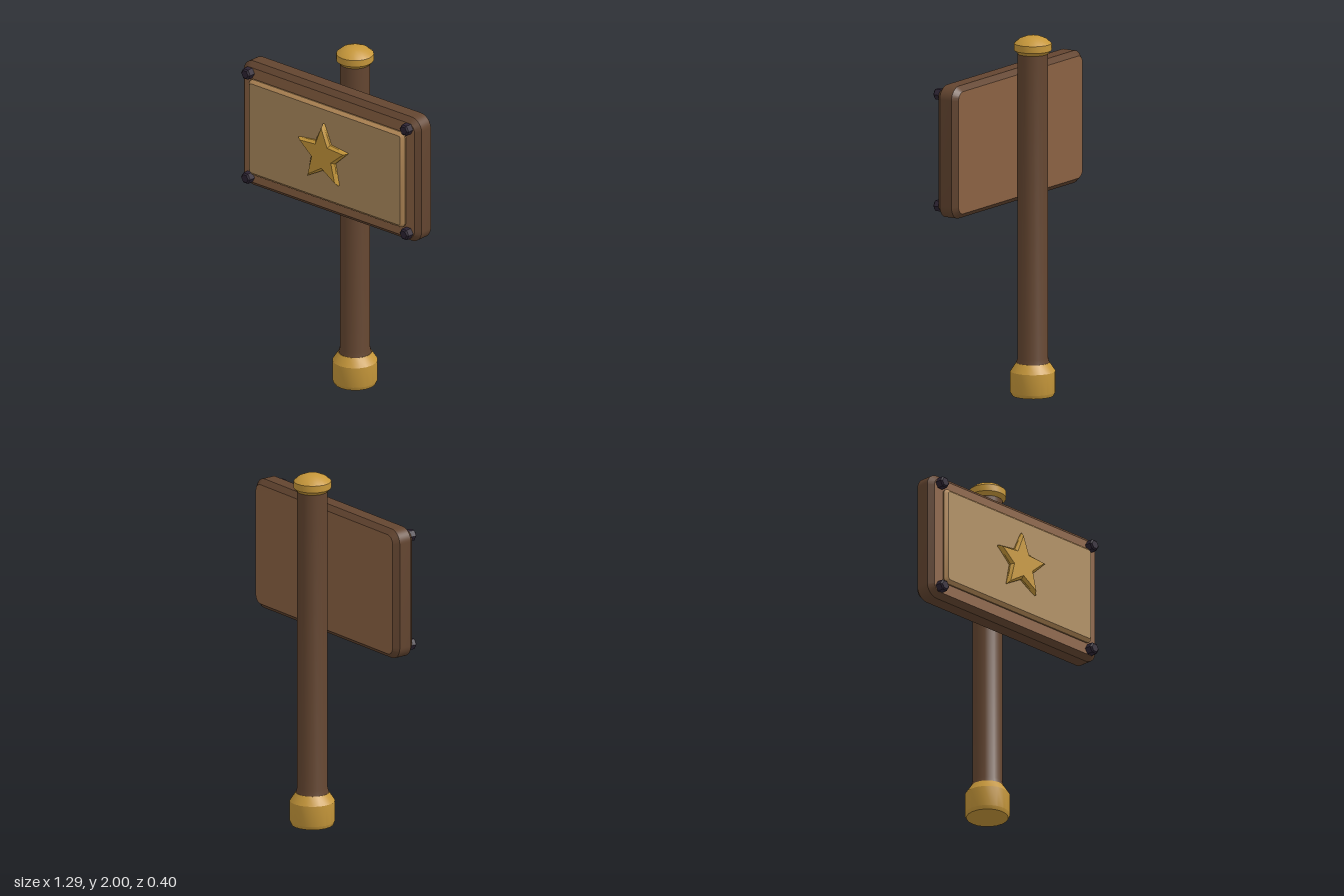
import * as THREE from 'three';
import { toCreasedNormals } from 'three/addons/utils/BufferGeometryUtils.js';

const mat = (name, color) => {
  const m = new THREE.MeshStandardMaterial({ color });
  m.name = name;
  return m;
};

function roundedRect(w, h, r) {
  const s = new THREE.Shape();
  const x = w / 2, y = h / 2;
  s.absarc(x - r, y - r, r, 0, Math.PI / 2);
  s.absarc(-x + r, y - r, r, Math.PI / 2, Math.PI);
  s.absarc(-x + r, -y + r, r, Math.PI, Math.PI * 1.5);
  s.absarc(x - r, -y + r, r, Math.PI * 1.5, Math.PI * 2);
  s.closePath();
  return s;
}

// Bevelled slab filling z0..z1; the bevel grows outwards from the shape
function slab(shape, z0, z1, bevel) {
  const geo = new THREE.ExtrudeGeometry(shape, {
    depth: z1 - z0 - 2 * bevel, bevelEnabled: true, bevelSegments: 1,
    bevelSize: bevel, bevelThickness: bevel, curveSegments: 5,
  });
  geo.translate(0, 0, z0 + bevel);
  return toCreasedNormals(geo, 0.5);
}

// Turned part from [radius, height] pairs listed bottom to top
function turned(points) {
  const geo = new THREE.LatheGeometry(points.map(([r, y]) => new THREE.Vector2(r, y)), 20);
  return toCreasedNormals(geo, 0.45);
}

export function createModel() {
  const group = new THREE.Group();
  const darkWood = mat('darkWood', 0x634530);
  const boardWood = mat('boardWood', 0x8a6143);
  const panelWood = mat('panelWood', 0xae8c5f);
  const panelEdge = mat('panelEdge', 0xb58a58);
  const gold = mat('gold', 0xc6973a);
  const iron = mat('iron', 0x2d2433);

  const add = (name, geo, material, x, y, z) => {
    const mesh = new THREE.Mesh(geo, material);
    mesh.name = name;
    mesh.position.set(x, y, z);
    group.add(mesh);
  };
  const postZ = -0.08, midY = 1.4375;

  // Post with its foot and cap
  add('post', turned([[0.092, 0.17], [0.09, 0.185], [0.083, 0.21], [0.083, 1.91]]), darkWood, 0, 0, postZ);
  add('foot', turned([[0, 0], [0.115, 0], [0.124, 0.02], [0.124, 0.135], [0.092, 0.183], [0, 0.183]]), gold, 0, 0, postZ);
  add('cap', turned([[0, 1.9], [0.083, 1.9], [0.103, 1.92], [0.103, 1.958], [0.075, 1.982], [0.04, 1.996], [0, 2]]), gold, 0, 0, postZ);

  // Board, raised panel and star emblem
  add('board', slab(roundedRect(1.234, 0.68, 0.045), 0, 0.132, 0.028), [boardWood, darkWood], 0, midY, 0);
  add('panel', slab(roundedRect(1.094, 0.53, 0.015), 0.125, 0.17, 0.018), [panelWood, panelEdge], 0, midY, 0);

  const star = new THREE.Shape();
  for (let i = 0; i < 10; i++) {
    const r = i % 2 ? 0.073 : 0.166;
    const a = Math.PI / 2 + i * Math.PI / 5;
    star[i ? 'lineTo' : 'moveTo'](r * Math.cos(a), r * Math.sin(a));
  }
  star.closePath();
  add('star', slab(star, 0.16, 0.2, 0.015), gold, 0, midY, 0);

  // Hexagonal bolts in the corners
  const hex = new THREE.Shape();
  for (let i = 0; i < 6; i++) {
    const a = i * Math.PI / 3;
    hex[i ? 'lineTo' : 'moveTo'](0.024 * Math.cos(a), 0.024 * Math.sin(a));
  }
  hex.closePath();
  const boltGeo = slab(hex, 0.122, 0.176, 0.008);
  for (const sx of [-1, 1]) {
    for (const sy of [-1, 1]) {
      add('bolt', boltGeo, iron, sx * 0.575, midY + sy * 0.31, 0);
    }
  }
  return group;
}
